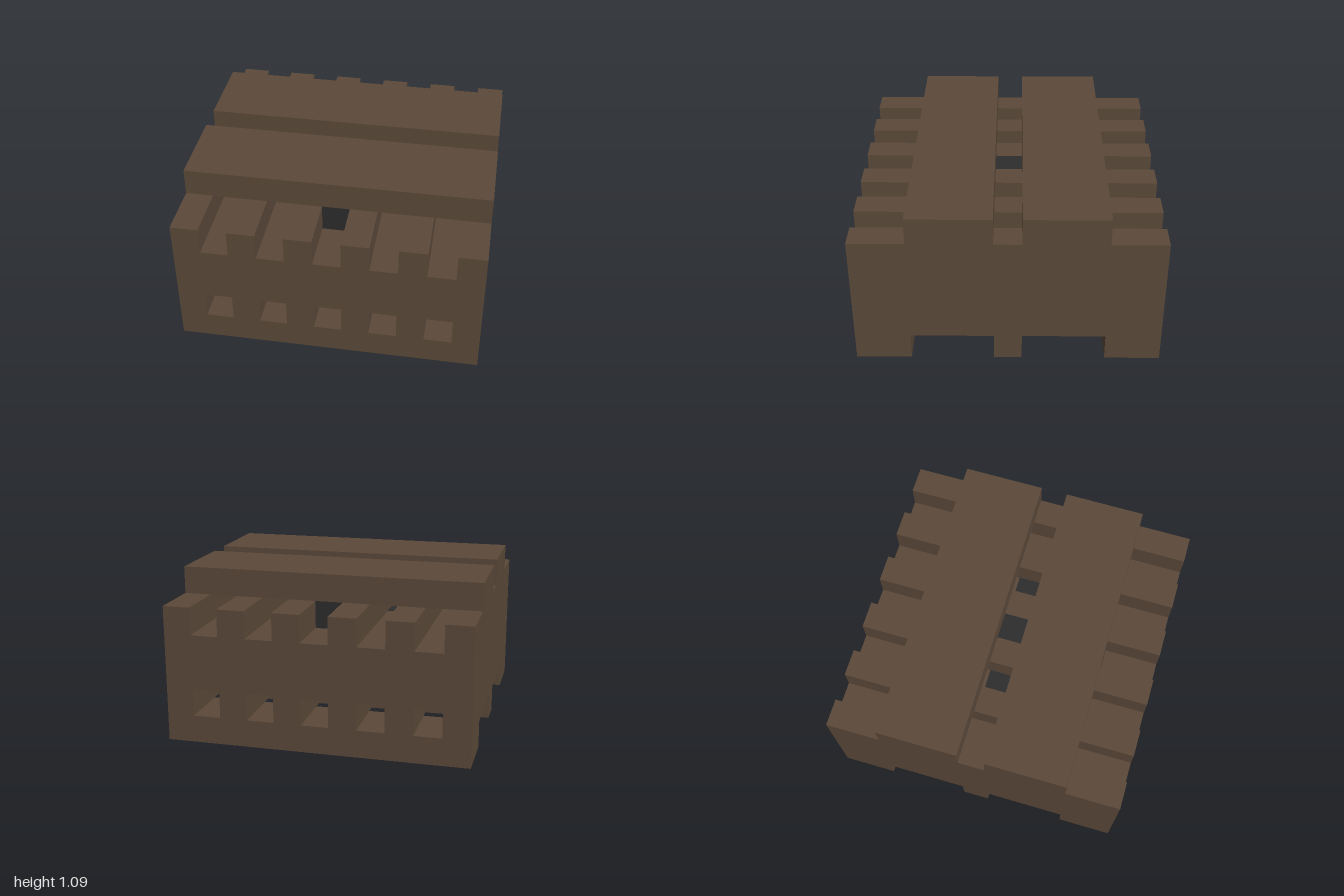
import * as THREE from 'three';

const U = 2 / 11; // grid unit: the block is 11 x 6 x 11 units

export function createModel() {
  const model = new THREE.Group();
  const brown = new THREE.MeshStandardMaterial({ color: 0x5c4a3a });
  brown.name = 'brown';
  const charcoal = new THREE.MeshStandardMaterial({ color: 0x2d2d2d });
  charcoal.name = 'charcoal';

  // Box given by its lower and upper bounds in units, x and z measured from the centre
  function addBox(name, material, [x0, x1], [y0, y1], [z0, z1]) {
    const mesh = new THREE.Mesh(
      new THREE.BoxGeometry((x1 - x0) * U, (y1 - y0) * U, (z1 - z0) * U), material);
    mesh.position.set((x0 + x1) / 2 * U, (y0 + y1) / 2 * U, (z0 + z1) / 2 * U);
    mesh.name = name;
    model.add(mesh);
  }

  // Core: a slab with five channels cut along its top and five along its underside
  const profile = new THREE.Shape();
  profile.moveTo(-5.5 * U, U);
  for (let x = -4.5; x < 4; x += 2) {
    for (const [px, py] of [[x, 1], [x, 2], [x + 1, 2], [x + 1, 1]]) profile.lineTo(px * U, py * U);
  }
  profile.lineTo(5.5 * U, U);
  profile.lineTo(5.5 * U, 5 * U);
  for (let x = 4.5; x > -4; x -= 2) {
    for (const [px, py] of [[x, 5], [x, 4], [x - 1, 4], [x - 1, 5]]) profile.lineTo(px * U, py * U);
  }
  profile.lineTo(-5.5 * U, 5 * U);
  profile.closePath();
  const coreGeometry = new THREE.ExtrudeGeometry(profile, { depth: 2, bevelEnabled: false });
  coreGeometry.translate(0, 0, -1);
  const core = new THREE.Mesh(coreGeometry, brown);
  core.name = 'channelledCore';
  model.add(core);

  // Beams across the top and runners across the bottom
  const full = [-5.5, 5.5];
  addBox('frontTopBeam', brown, full, [5, 6], [0.5, 3.5]);
  addBox('backTopBeam', brown, full, [5, 6], [-3.5, -0.5]);
  addBox('frontRunner', brown, full, [0, 1], [3.5, 5.5]);
  addBox('middleRunner', brown, full, [0, 1], [-0.5, 0.5]);
  addBox('backRunner', brown, full, [0, 1], [-5.5, -3.5]);

  // Dark plug filling the middle top channel, and dark pads on the floors beside it
  addBox('middlePlug', charcoal, [-0.5, 0.5], [4, 5], [-3.5, 3.5]);
  for (const x of [-2, 2]) {
    addBox('channelPad', charcoal, [x - 0.5, x + 0.5], [4, 4.02], [-0.5, 0.5]);
  }
  return model;
}
